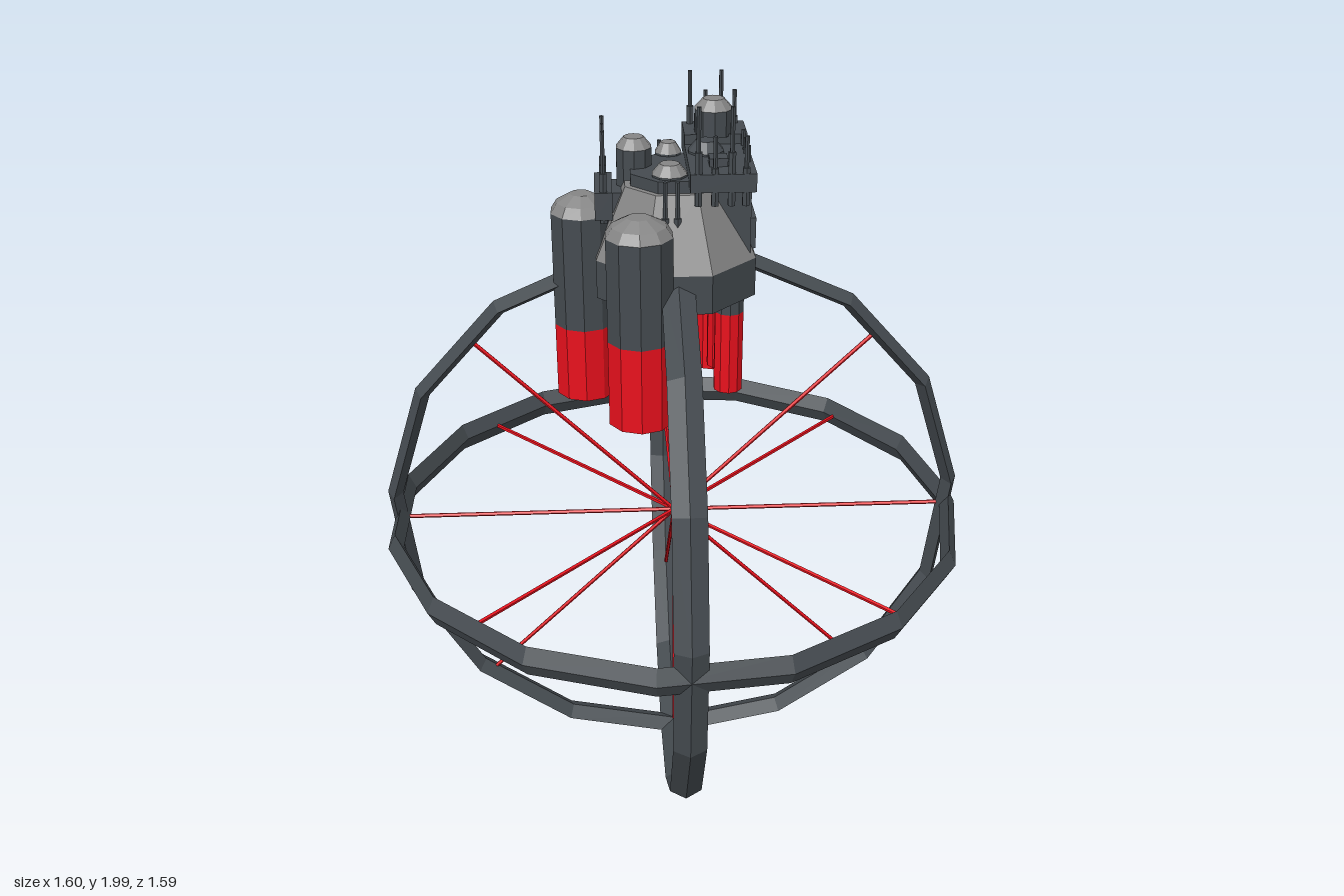
import * as THREE from 'three';

const mat = (color) => new THREE.MeshStandardMaterial({ color, flatShading: true, side: THREE.DoubleSide });

export function createModel() {
  const root = new THREE.Group();
  const dark = mat(0x454b50), grey = mat(0x858585), red = mat(0xe8101c);

  const add = (name, geometry, material, x = 0, y = 0, z = 0, parent = root) => {
    const mesh = new THREE.Mesh(geometry, material);
    mesh.name = name;
    mesh.position.set(x, y, z);
    parent.add(mesh);
    return mesh;
  };
  // Upright prism between two heights
  const drum = (name, x, z, y0, y1, r0, r1, sides, material, open = false) =>
    add(name, new THREE.CylinderGeometry(r1, r0, y1 - y0, sides, 1, open), material, x, (y0 + y1) / 2, z);
  // Box from its ranges on each axis
  const block = (name, x0, x1, y0, y1, z0, z1, material = dark) =>
    add(name, new THREE.BoxGeometry(x1 - x0, y1 - y0, z1 - z0), material, (x0 + x1) / 2, (y0 + y1) / 2, (z0 + z1) / 2);

  // Three crossed rings, fifteen sides, flattened diamond section
  const CY = 0.81;
  const ring = (name, place) => {
    const g = new THREE.TorusGeometry(0.78, 0.021, 4, 15);
    g.scale(1, 1, 2);
    place(g);
    add(name, g, dark, 0, CY, 0);
  };
  ring('horizontalRing', (g) => g.rotateX(Math.PI / 2));
  ring('frontRing', (g) => g.rotateZ(-Math.PI / 2));
  ring('sideRing', (g) => g.rotateZ(-Math.PI / 2).rotateY(Math.PI / 2));

  // Spokes along the axes and the diagonals of the ring planes
  const spokes = new THREE.Group();
  spokes.name = 'spokes';
  spokes.position.y = CY;
  root.add(spokes);
  for (let i = -1; i <= 1; i++) for (let j = -1; j <= 1; j++) for (let k = -1; k <= 1; k++) {
    const n = Math.abs(i) + Math.abs(j) + Math.abs(k);
    if (n !== 1 && n !== 2) continue;
    const dir = new THREE.Vector3(i, j, k).normalize();
    const rod = add('spoke', new THREE.CylinderGeometry(0.006, 0.006, 0.77, 5), red, 0, 0, 0, spokes);
    rod.quaternion.setFromUnitVectors(new THREE.Vector3(0, 1, 0), dir);
    rod.position.copy(dir).multiplyScalar(0.385);
  }

  // Thruster tanks: red open nozzle, dark barrel, grey dome
  const tank = (x, z, r, bottom, split, top, domed) => {
    drum('tankNozzle', x, z, bottom, split, r, r, 10, red, true);
    drum('tankBarrel', x, z, split, top, r, r, 10, dark);
    if (!domed) return;
    drum('tankShoulder', x, z, top, top + 0.025, r, r * 0.8, 10, grey);
    drum('tankCap', x, z, top + 0.025, top + 0.045, r * 0.8, r * 0.35, 10, grey);
  };
  tank(-0.235, 0, 0.08, 1.2, 1.4, 1.7, true);
  tank(-0.095, 0.185, 0.086, 1.2, 1.43, 1.7, true);
  tank(-0.08, -0.132, 0.088, 1.2, 1.4, 1.62, true);
  tank(0.11, -0.14, 0.045, 1.2, 1.4, 1.53, false);
  tank(0.135, 0.095, 0.038, 1.24, 1.46, 1.53, false);
  tank(0.125, -0.05, 0.035, 1.24, 1.4, 1.53, false);

  // Hull: eight-sided skirt, sloped shell and tower
  const hull = (name, y0, y1, r0, r1, material) => {
    drum(name, 0, 0.01, y0, y1, r0, r1, 8, material).rotation.y = Math.PI / 8;
  };
  hull('hullSkirt', 1.5, 1.6, 0.217, 0.217, dark);
  hull('hullShell', 1.6, 1.78, 0.217, 0.135, grey);
  hull('hullDeck', 1.78, 1.81, 0.12, 0.12, dark);
  block('towerColumn', 0.04, 0.185, 1.6, 1.79, -0.15, 0.1);

  // Rods, each with a thicker lower sleeve
  const antenna = (x, z, y0, y1) => {
    const mid = y0 + (y1 - y0) * 0.55;
    drum('antennaSleeve', x, z, y0, mid, 0.01, 0.01, 6, dark);
    drum('antennaTip', x, z, mid, y1, 0.006, 0.006, 6, dark);
  };

  // Long upper platform with antennas at both ends
  block('upperPlatform', 0.03, 0.19, 1.795, 1.84, -0.2, 0.165);
  block('rearPlatformBox', 0.03, 0.19, 1.8, 1.865, -0.2, -0.08);
  block('frontPlatformHatch', 0.08, 0.125, 1.84, 1.86, 0.06, 0.105);
  [0.05, 0.09, 0.13, 0.165].forEach((x, i) => {
    antenna(x, -0.185, 1.8, i % 2 ? 1.95 : 2);
    antenna(x, 0.155, 1.76, i % 2 ? 1.93 : 2);
  });
  for (const x of [-0.03, 0]) {
    antenna(x, -0.19, 1.62, 1.82);
    antenna(x, 0.155, 1.62, 1.82);
  }

  // Side racks carrying rows of upright pipes
  const rack = (side, y0, y1, tip) => {
    const x = side * 0.178;
    block('sideRack', x - 0.022, x + 0.022, y0, y1, -0.085, 0.08);
    for (let i = 0; i < 5; i++) antenna(x, -0.068 + i * 0.034, y1 - 0.08, tip - (i % 2) * 0.035);
  };
  rack(1, 1.62, 1.7, 1.88);
  rack(-1, 1.7, 1.77, 1.92);
  block('leftRackArm', -0.17, -0.08, 1.71, 1.76, -0.06, 0.05);

  // Domed turrets on the deck
  const turret = (x, z, r, y0, y1, material) => {
    drum('turretBase', x, z, y0, y1 - 0.025, r, r, 10, dark);
    drum('turretDome', x, z, y1 - 0.025, y1, r, r * 0.55, 10, material);
  };
  turret(0.105, -0.11, 0.05, 1.86, 1.95, grey);
  turret(-0.1, -0.025, 0.046, 1.74, 1.88, grey);
  turret(0.08, -0.02, 0.046, 1.79, 1.87, dark);
  turret(-0.015, 0.07, 0.045, 1.76, 1.84, grey);
  turret(-0.01, -0.11, 0.035, 1.74, 1.84, grey);
  return root;
}
